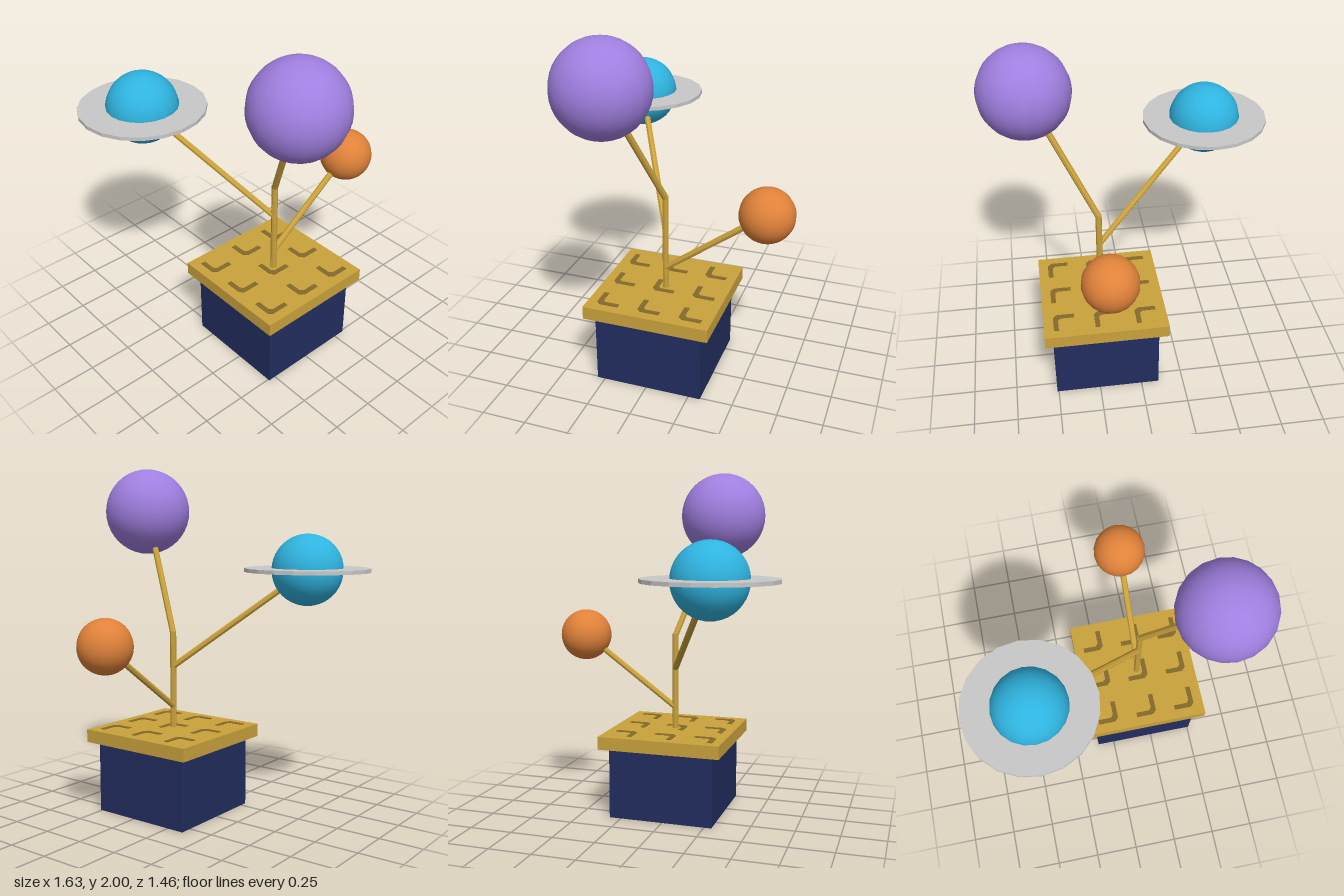
import * as THREE from 'three';

const mat = (name, color, extra = {}) => {
  const m = new THREE.MeshStandardMaterial({ color, ...extra });
  m.name = name;
  return m;
};

export function createModel() {
  const model = new THREE.Group();
  model.name = 'planetTree';

  const navy = mat('navy', 0x222d5e);
  const gold = mat('gold', 0xcaa23c);
  const darkGold = mat('darkGold', 0x84692a);
  const purple = mat('purple', 0xa07fe0);
  const blue = mat('blue', 0x2fb4e0);
  const orange = mat('orange', 0xe0823a);
  const grey = mat('grey', 0xc8c8c8);

  const add = (name, geometry, material, x, y, z) => {
    const mesh = new THREE.Mesh(geometry, material);
    mesh.name = name;
    mesh.position.set(x, y, z);
    model.add(mesh);
    return mesh;
  };

  // Trunk axis
  const cx = 0.203, cz = -0.012;

  // Pot and its lid
  add('pot', new THREE.BoxGeometry(0.612, 0.42, 0.612), navy, cx, 0.21, cz);
  add('lid', new THREE.BoxGeometry(0.714, 0.075, 0.714), gold, cx, 0.452, cz);

  // Nine thin L-shaped marks on the lid
  const ell = new THREE.Shape();
  [[-0.06, -0.064], [0.04, -0.064], [0.062, -0.042], [0.062, 0.064], [0.034, 0.064],
    [0.034, -0.02], [0.018, -0.036], [-0.06, -0.036]]
    .forEach(([x, y], i) => (i ? ell.lineTo(x, y) : ell.moveTo(x, y)));
  const ellGeometry = new THREE.ExtrudeGeometry(ell, { depth: 0.004, bevelEnabled: false });
  ellGeometry.rotateX(-Math.PI / 2);
  for (let i = -1; i <= 1; i++) {
    for (let j = -1; j <= 1; j++) {
      add('lidMark', ellGeometry, darkGold, cx + i * 0.238, 0.4885, cz + j * 0.238);
    }
  }

  // Straight eight-sided rods
  const rod = (name, from, to) => {
    const dir = to.clone().sub(from);
    const geometry = new THREE.CylinderGeometry(0.018, 0.018, dir.length(), 8).toNonIndexed();
    geometry.computeVertexNormals();
    const mid = from.clone().add(to).multiplyScalar(0.5);
    const mesh = add(name, geometry, gold, mid.x, mid.y, mid.z);
    mesh.quaternion.setFromUnitVectors(new THREE.Vector3(0, 1, 0), dir.normalize());
  };
  const trunkAt = (y) => new THREE.Vector3(cx, y, cz);
  rod('trunk', trunkAt(0.46), trunkAt(1.055));

  // Planets, each on a branch from the trunk
  const planets = [
    ['purplePlanet', purple, 0.255, [0.56, 1.745, 0.185], 1.045],
    ['bluePlanet', blue, 0.203, [-0.462, 1.415, 0.371], 0.85],
    ['orangePlanet', orange, 0.152, [0.203, 1.03, -0.58], 0.615],
  ];
  for (const [name, material, radius, [x, y, z], joint] of planets) {
    add(name, new THREE.SphereGeometry(radius, 20, 20), material, x, y, z);
    rod(name + 'Branch', trunkAt(joint), new THREE.Vector3(x, y, z));
  }

  // Flat disc around the blue planet
  const disc = new THREE.CylinderGeometry(0.357, 0.357, 0.021, 20).toNonIndexed();
  disc.computeVertexNormals();
  add('planetRing', disc, grey, -0.462, 1.415, 0.371);

  return model;
}
